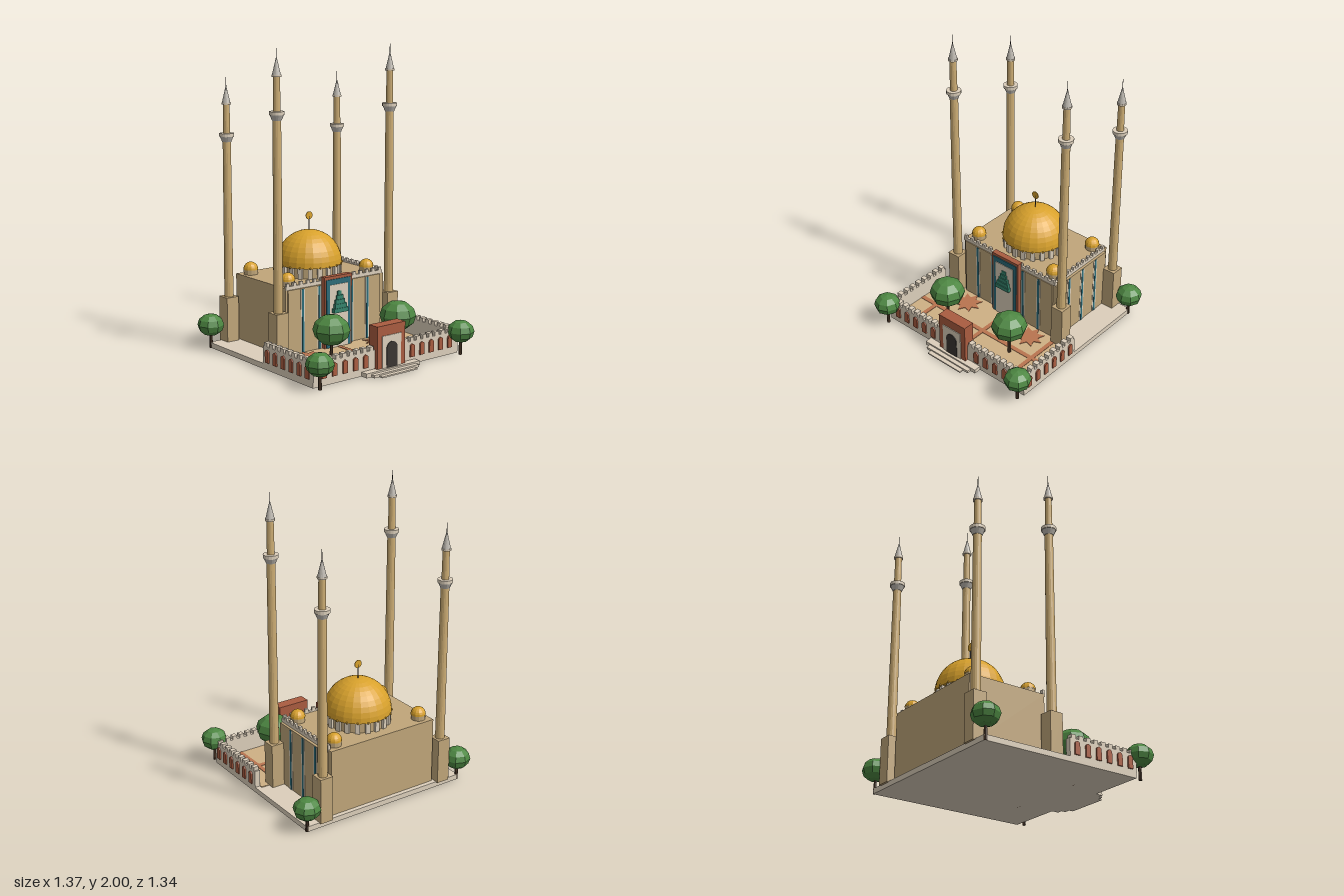
import * as THREE from 'three';

const material = (color, side = THREE.FrontSide) =>
  new THREE.MeshStandardMaterial({ color, flatShading: true, side });
const M = {
  wall: material(0xc0a67a), shaft: material(0xcdad74), stone: material(0xdccfbb), metal: material(0xbdb8b0),
  sand: material(0xcfb084), brick: material(0xaa5c40), paving: material(0xb9744f), teal: material(0x2b6b78),
  jade: material(0x35836c), gold: material(0xd9a22c), leaf: material(0x4d8742), bark: material(0x4c3828),
  dark: material(0x3a3632),
};

export function createModel() {
  const root = new THREE.Group();

  function add(name, geometry, mat, x = 0, y = 0, z = 0, parent = root) {
    const mesh = new THREE.Mesh(geometry, mat);
    mesh.name = name;
    mesh.position.set(x, y, z);
    parent.add(mesh);
    return mesh;
  }
  // Box given by its extents on each axis
  const box = (name, mat, x0, x1, y0, y1, z0, z1, parent = root) =>
    add(name, new THREE.BoxGeometry(x1 - x0, y1 - y0, z1 - z0), mat,
      (x0 + x1) / 2, (y0 + y1) / 2, (z0 + z1) / 2, parent);
  const group = (name, x = 0, y = 0, z = 0) => {
    const g = new THREE.Group();
    g.name = name;
    g.position.set(x, y, z);
    root.add(g);
    return g;
  };
  // Pointed or round arch standing on y = 0, extruded along +z
  function arch(w, h, depth, pointed) {
    const s = new THREE.Shape();
    s.moveTo(-w / 2, 0);
    s.lineTo(w / 2, 0);
    s.lineTo(w / 2, h - w / 2);
    if (pointed) {
      s.quadraticCurveTo(w / 2, h - w / 5, 0, h);
      s.quadraticCurveTo(-w / 2, h - w / 5, -w / 2, h - w / 2);
    } else s.absarc(0, h - w / 2, w / 2, 0, Math.PI, false);
    return new THREE.ExtrudeGeometry(s, { depth, bevelEnabled: false, curveSegments: 6 });
  }

  // Base slab and front steps
  box('baseSlab', M.stone, -0.6, 0.6, 0, 0.035, -0.59, 0.53);
  [[0.222, 0.58, 0.028], [0.185, 0.61, 0.018], [0.145, 0.64, 0.009]].forEach(([w, z, h]) =>
    box('step', M.stone, -w, w, 0, h, 0.52, z));

  // Courtyard floor with paths and star inlays
  box('courtyard', M.sand, -0.565, 0.565, 0.03, 0.04, -0.005, 0.5);
  for (const x of [-0.43, 0, 0.43]) box('path', M.paving, x - 0.015, x + 0.015, 0.035, 0.043, 0, 0.495);
  box('crossPath', M.paving, -0.565, 0.565, 0.035, 0.0425, 0.243, 0.275);
  const star = new THREE.Shape();
  for (let i = 0; i < 16; i++) {
    const r = i % 2 ? 0.06 : 0.1, a = i * Math.PI / 8;
    star[i ? 'lineTo' : 'moveTo'](r * Math.cos(a), r * Math.sin(a));
  }
  for (const x of [-0.28, 0.28])
    add('starInlay', new THREE.ExtrudeGeometry(star, { depth: 0.008, bevelEnabled: false }),
      M.paving, x, 0.036, 0.1).rotation.x = -Math.PI / 2;

  // Courtyard walls; each is built along its own x axis, outer face at +z
  function gardenWall(length, niches, pos, turn) {
    const g = group('gardenWall', ...pos);
    g.rotation.y = turn;
    box('wallBody', M.stone, -length / 2, length / 2, 0, 0.115, -0.037, 0, g);
    const n = Math.round(length / 0.056);
    for (let i = 0; i < n; i++) {
      const x = ((i + 0.5) / n - 0.5) * length;
      box('merlon', M.stone, x - 0.016, x + 0.016, 0.115, 0.14, -0.037, 0, g);
    }
    for (let i = 0; i < niches; i++) {
      const x = (i - (niches - 1) / 2) * 0.082;
      add('niche', arch(0.036, 0.085, 0.01, true), M.brick, x, 0.015, 0, g);
    }
  }
  for (const s of [-1, 1]) {
    gardenWall(0.51, 6, [s * 0.6, 0.035, 0.275], s * Math.PI / 2);
    gardenWall(0.485, 5, [s * 0.3575, 0.035, 0.533], 0);
  }

  // Entrance gate
  box('gateBlock', M.brick, -0.115, 0.115, 0.025, 0.3, 0.475, 0.555);
  box('gatePanel', M.stone, -0.078, 0.078, 0.025, 0.235, 0.55, 0.56);
  add('gateDoor', arch(0.09, 0.165, 0.01, false), M.dark, 0, 0.028, 0.554);

  // Prayer hall with panelled front and left side
  box('hall', M.wall, -0.4, 0.4, 0.03, 0.48, -0.56, -0.01);
  box('frontFacing', M.wall, -0.385, 0.385, 0.03, 0.465, -0.02, 0);
  box('sideFacing', M.wall, 0.39, 0.42, 0.03, 0.465, -0.53, -0.01);
  for (const x of [-0.27, -0.135, 0.135, 0.27]) {
    box('tealStrip', M.teal, x - 0.008, x + 0.008, 0.035, 0.46, -0.01, 0.005);
    for (const s of [-1, 1])
      box('pilaster', M.stone, x + s * 0.012 - 0.004, x + s * 0.012 + 0.004, 0.035, 0.46, -0.01, 0.003);
  }
  for (const z of [-0.135, -0.275, -0.415]) {
    box('tealStrip', M.teal, 0.41, 0.424, 0.035, 0.46, z - 0.008, z + 0.008);
    for (const s of [-1, 1])
      box('pilaster', M.stone, 0.41, 0.422, 0.035, 0.46, z + s * 0.013 - 0.005, z + s * 0.013 + 0.005);
  }
  // Battlements over the panelled walls
  box('frontParapet', M.stone, -0.4, 0.402, 0.467, 0.49, -0.02, -0.003);
  box('sideParapet', M.stone, 0.385, 0.404, 0.467, 0.49, -0.53, -0.004);
  for (let i = 0; i < 15; i++) {
    const x = -0.385 + i * 0.055;
    box('merlon', M.stone, x - 0.012, x + 0.012, 0.488, 0.51, -0.02, -0.003);
  }
  for (let i = 0; i < 10; i++) {
    const z = -0.52 + i * 0.052;
    box('merlon', M.stone, 0.385, 0.404, 0.488, 0.51, z - 0.011, z + 0.011);
  }

  // Main portal with a stepped canopy
  box('portalFrame', M.brick, -0.115, 0.115, 0.03, 0.515, -0.012, 0.028);
  box('portalBand', M.teal, -0.1, 0.1, 0.03, 0.495, 0.02, 0.034);
  box('portalPanel', M.stone, -0.075, 0.075, 0.03, 0.46, 0.025, 0.038);
  [0.058, 0.048, 0.038, 0.027, 0.016].forEach((w, i) =>
    box('canopyStep', M.jade, -w, w, 0.275 + i * 0.028, 0.303 + i * 0.028, 0.03, 0.064 - i * 0.005));

  // Main dome on a colonnaded drum
  const dome = group('mainDome', 0, 0.48, -0.28);
  add('drum', new THREE.CylinderGeometry(0.2, 0.2, 0.08, 20), M.wall, 0, 0.04, 0, dome);
  for (let i = 0; i < 20; i++) {
    const a = i / 20 * Math.PI * 2, x = Math.sin(a), z = Math.cos(a);
    add('drumPillar', new THREE.BoxGeometry(0.03, 0.07, 0.02), M.stone, x * 0.206, 0.035, z * 0.206, dome).rotation.y = a;
    add('pillarKnob', new THREE.SphereGeometry(0.008, 6, 4), M.gold, x * 0.22, 0.073, z * 0.22, dome);
  }
  add('domeUnderside', new THREE.CylinderGeometry(0.218, 0.218, 0.006, 24), M.gold, 0, 0.073, 0, dome);
  add('domeShell', new THREE.SphereGeometry(0.22, 24, 10, 0, Math.PI * 2, 0, Math.PI / 2), M.gold, 0, 0.073, 0, dome);
  add('finialRod', new THREE.CylinderGeometry(0.003, 0.003, 0.1, 6), M.dark, 0, 0.335, 0, dome);
  add('finialDisc', new THREE.CylinderGeometry(0.027, 0.027, 0.005, 16), M.gold, 0, 0.388, 0, dome).rotation.x = Math.PI / 2;

  // Small corner domes
  for (const x of [-0.33, 0.33]) for (const z of [-0.08, -0.49]) {
    add('smallDrum', new THREE.CylinderGeometry(0.047, 0.047, 0.035, 12), M.wall, x, 0.495, z);
    add('smallDome', new THREE.SphereGeometry(0.05, 12, 6, 0, Math.PI * 2, 0, Math.PI / 2), M.gold, x, 0.512, z);
  }

  // Minarets: plinth, shaft, balcony, upper shaft and spire
  function minaret(x, z, balcony, cap) {
    const g = group('minaret', x, 0, z);
    const tube = (name, mat, r0, r1, y0, y1) =>
      add(name, new THREE.CylinderGeometry(r1, r0, y1 - y0, 16), mat, 0, (y0 + y1) / 2, 0, g);
    box('plinth', M.wall, -0.046, 0.046, 0.03, 0.335, -0.046, 0.046, g);
    tube('shaft', M.shaft, 0.031, 0.027, 0.335, balcony - 0.03);
    tube('balconyCorbel', M.metal, 0.03, 0.045, balcony - 0.035, balcony);
    tube('balconyRail', M.stone, 0.049, 0.049, balcony, balcony + 0.022);
    tube('upperShaft', M.shaft, 0.024, 0.022, balcony + 0.02, cap);
    tube('capRing', M.stone, 0.031, 0.031, cap - 0.006, cap + 0.006);
    tube('spire', M.metal, 0.028, 0.003, cap + 0.006, cap + 0.11);
    tube('spireTip', M.dark, 0.0025, 0.0015, cap + 0.1, cap + 0.17);
  }
  for (const s of [-1, 1]) {
    minaret(s * 0.462, -0.003, 1.59, 1.83);
    minaret(s * 0.462, -0.557, 1.405, 1.62);
  }

  // Faceted trees
  function tree(x, z, r, y) {
    const g = group('tree', x, 0, z);
    add('trunk', new THREE.CylinderGeometry(0.009, 0.012, y, 6), M.bark, 0, y / 2, 0, g);
    add('crown', new THREE.SphereGeometry(r, 8, 6), M.leaf, 0, y, 0, g).scale.y = 0.82;
  }
  for (const s of [-1, 1]) {
    tree(s * 0.277, 0.303, 0.12, 0.258);
    tree(s * 0.583, 0.575, 0.09, 0.157);
    tree(s * 0.595, -0.58, 0.09, 0.157);
  }
  return root;
}
